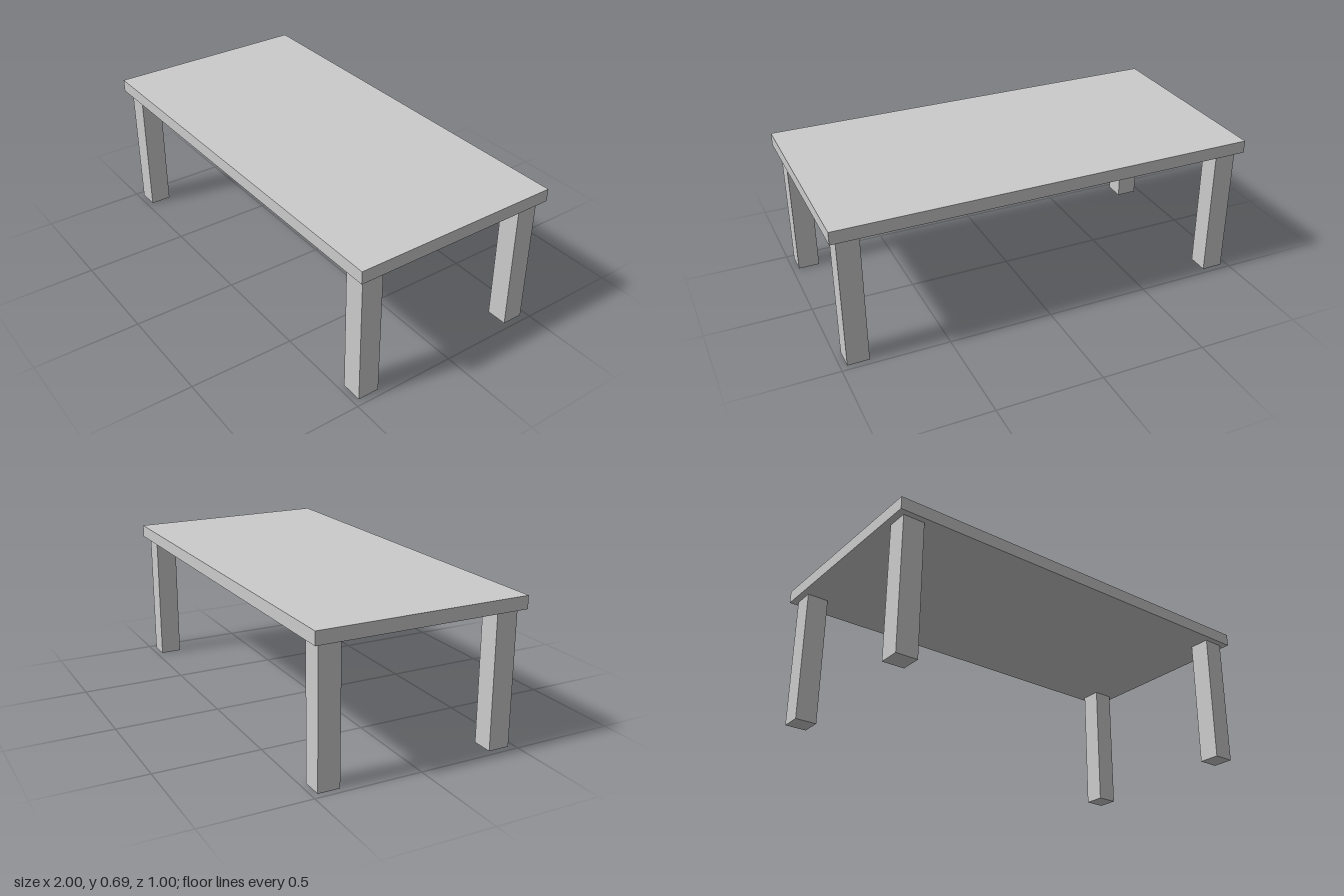
import * as THREE from 'three';

const TOP_Y = 0.695, LEG_HEIGHT = 0.635, LEG_WIDTH = 0.102;

export function createModel() {
  const table = new THREE.Group();
  table.name = 'table';
  const material = new THREE.MeshStandardMaterial({ color: 0xcccccc });

  // Adds a box standing on height y
  const addBox = (name, width, height, depth, x, y, z) => {
    const mesh = new THREE.Mesh(new THREE.BoxGeometry(width, height, depth), material);
    mesh.name = name;
    mesh.position.set(x, y + height / 2, z);
    table.add(mesh);
  };

  // Flat slab top
  addBox('tableTop', 2, TOP_Y - LEG_HEIGHT, 1, 0, LEG_HEIGHT, 0);

  // Four square legs, slightly inset from the corners
  for (const [side, sx] of [['Left', 1], ['Right', -1]]) {
    for (const [end, sz] of [['front', 1], ['back', -1]]) {
      addBox(`${end}${side}Leg`, LEG_WIDTH, LEG_HEIGHT, LEG_WIDTH, sx * 0.918, 0, sz * 0.42);
    }
  }

  return table;
}
